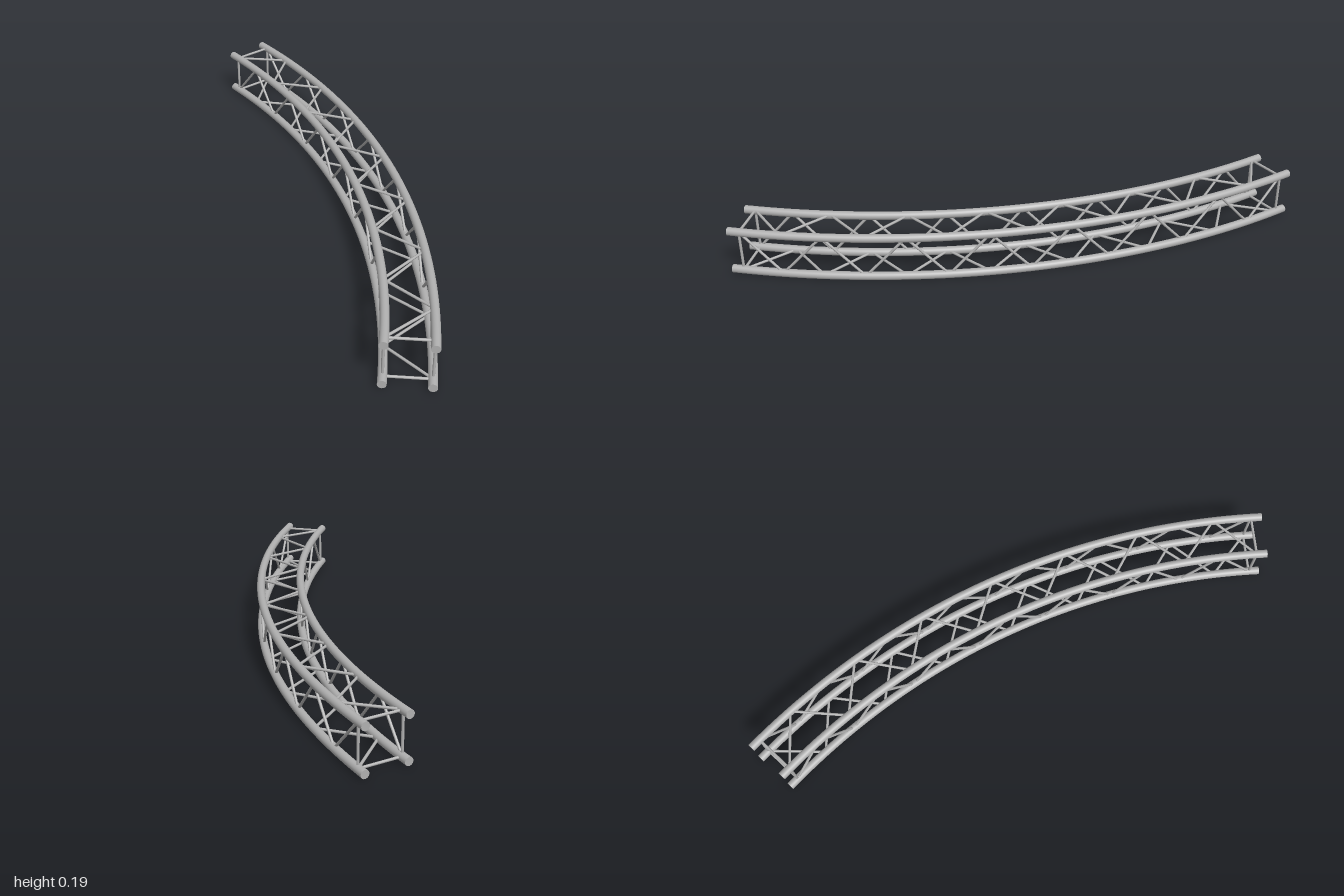
import * as THREE from 'three';

const CENTRE_X = -2.3445, CENTRE_Z = 0.999;   // centre of the bend
const R_IN = 2.651, R_OUT = 2.81;             // chord bend radii
const Y_LOW = 0.0155, Y_HIGH = 0.175;         // chord heights
const CHORD = 0.0155, BRACE = 0.005;          // pipe radii
const SWEEP = Math.PI / 4, INSET = 0.0147;    // total bend, end bar offset
const BAYS = 14;

const onArc = (radius, y, a) =>
  new THREE.Vector3(CENTRE_X + radius * Math.cos(a), y, CENTRE_Z - radius * Math.sin(a));

// Bent pipe centre line
class ArcCurve extends THREE.Curve {
  constructor(radius, y) {
    super();
    this.radius = radius;
    this.y = y;
  }
  getPoint(t, target = new THREE.Vector3()) {
    return target.copy(onArc(this.radius, this.y, t * SWEEP));
  }
}

export function createModel() {
  const model = new THREE.Group();
  model.name = 'curvedTruss';
  const metal = new THREE.MeshStandardMaterial({ color: 0xb0b0b0 });
  metal.name = 'aluminium grey';

  const add = (parent, name, geometry) => {
    const mesh = new THREE.Mesh(geometry, metal);
    mesh.name = name;
    parent.add(mesh);
    return mesh;
  };

  // Straight thin pipe between two points
  const addBar = (parent, name, a, b) => {
    const bar = add(parent, name, new THREE.CylinderGeometry(BRACE, BRACE, a.distanceTo(b), 12, 1, true));
    bar.position.copy(a).lerp(b, 0.5);
    bar.quaternion.setFromUnitVectors(new THREE.Vector3(0, 1, 0), b.clone().sub(a).normalize());
  };

  // Four bent chords with flat end caps
  const corners = {
    innerBottom: [R_IN, Y_LOW],
    outerBottom: [R_OUT, Y_LOW],
    outerTop: [R_OUT, Y_HIGH],
    innerTop: [R_IN, Y_HIGH],
  };
  for (const [name, [radius, y]] of Object.entries(corners)) {
    const curve = new ArcCurve(radius, y);
    const chord = new THREE.Group();
    chord.name = name + 'Chord';
    add(chord, 'pipe', new THREE.TubeGeometry(curve, 48, CHORD, 24, false));
    for (const [t, turn] of [[0, 0], [1, Math.PI + SWEEP]]) {
      const cap = add(chord, 'endCap', new THREE.CircleGeometry(CHORD, 24));
      cap.position.copy(curve.getPoint(t));
      cap.rotation.y = turn;
    }
    model.add(chord);
  }

  // Each face: zigzag bracing between two chords, closed by a bar at each end
  const faces = [
    ['innerFace', corners.innerBottom, corners.innerTop],
    ['bottomFace', corners.outerBottom, corners.innerBottom],
    ['outerFace', corners.outerTop, corners.outerBottom],
    ['topFace', corners.innerTop, corners.outerTop],
  ];
  const angle = (i) => INSET + (i / BAYS) * (SWEEP - 2 * INSET);
  for (const [name, start, end] of faces) {
    const face = new THREE.Group();
    face.name = name;
    const node = (i) => onArc(...(i % 2 ? end : start), angle(i));
    for (let i = 0; i < BAYS; i++) addBar(face, 'diagonalBrace', node(i), node(i + 1));
    for (const i of [0, BAYS]) {
      addBar(face, 'endBar', onArc(...start, angle(i)), onArc(...end, angle(i)));
    }
    model.add(face);
  }

  return model;
}
